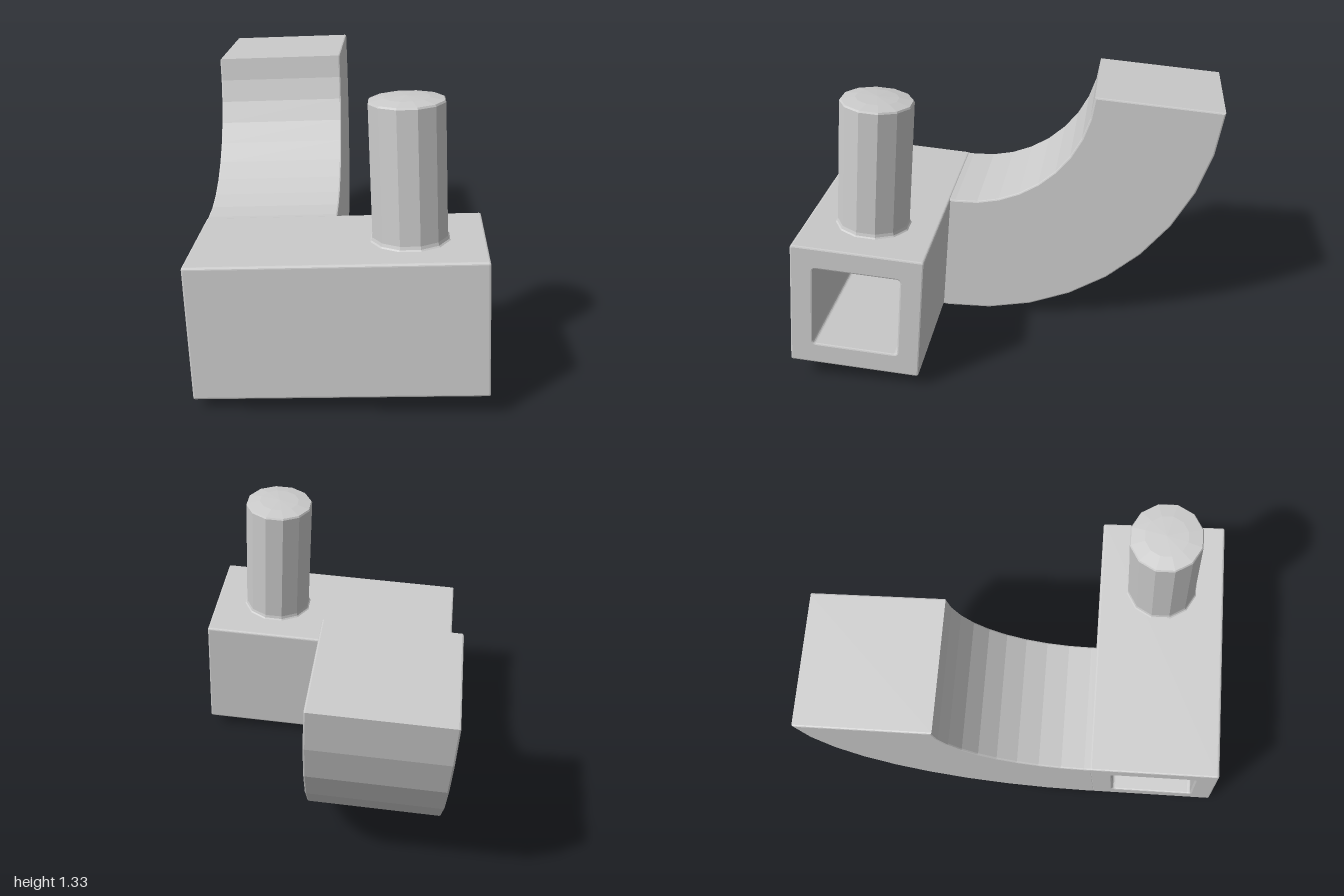
import * as THREE from 'three';

const S = 0.31;       // half side of the square cross-section
const HALF = 0.645;   // half length of the hollow box
const BEVEL = 0.008;

// Extrude a (depth-back, height) outline along x, with slim bevelled ends.
function extrudeAlongX(shape, x0, x1, curveSegments) {
  const geo = new THREE.ExtrudeGeometry(shape, {
    depth: x1 - x0 - 2 * BEVEL, curveSegments,
    bevelEnabled: true, bevelThickness: BEVEL, bevelSize: BEVEL,
    bevelOffset: -BEVEL, bevelSegments: 2,
  });
  geo.translate(0, 0, x0 + BEVEL);
  geo.rotateY(Math.PI / 2);
  return geo;
}

// Square outline with softened corners.
function softSquare(PathType, h, r) {
  const p = new PathType();
  [[1, 1], [-1, 1], [-1, -1], [1, -1]].forEach(([sx, sy], i) => {
    p.absarc(sx * (h - r), sy * (h - r), r, i * Math.PI / 2, (i + 1) * Math.PI / 2, false);
  });
  p.closePath();
  return p;
}

export function createModel() {
  const grey = new THREE.MeshStandardMaterial({ color: 0xcccccc });
  grey.name = 'lightGrey';
  const model = new THREE.Group();
  model.name = 'tiltedFitting';
  const add = (name, geo) => {
    const mesh = new THREE.Mesh(geo, grey);
    mesh.name = name;
    model.add(mesh);
    return mesh;
  };

  // Box with a square tunnel running through it from side to side
  const square = softSquare(THREE.Shape, S, 0.012);
  square.holes.push(softSquare(THREE.Path, 0.203, 0.015));
  add('hollowBox', extrudeAlongX(square, -HALF, HALF, 2));

  // Quarter bend sweeping back and up from one half of the box
  const cu = 0.335, cy = 0.942, rIn = 0.635, rOut = 1.255, steps = 9;
  const pts = [[0.298, cy - rOut + 0.003]];
  for (let i = 0; i <= steps; i++) {
    const a = (i / steps) * Math.PI / 2;
    pts.push([cu + rOut * Math.sin(a), cy - rOut * Math.cos(a)]);
  }
  for (let i = steps; i >= 0; i--) {
    const a = (i / steps) * Math.PI / 2;
    pts.push([cu + rIn * Math.sin(a), cy - rIn * Math.cos(a)]);
  }
  pts.push([0.298, cy - rIn]);
  const bend = new THREE.Shape(pts.map(([u, y]) => new THREE.Vector2(u, y)));
  add('curvedArm', extrudeAlongX(bend, -HALF, -0.025, 1));

  // Upright faceted post with a slightly domed top and a small base fillet
  const profile = [
    [0.185, 0.305], [0.174, 0.316], [0.17, 0.33], [0.17, 0.925],
    [0.165, 0.933], [0.1, 0.944], [0, 0.949],
  ].map(([r, y]) => new THREE.Vector2(r, y));
  let post = new THREE.LatheGeometry(profile, 12, Math.PI / 12).toNonIndexed();
  post.computeVertexNormals();
  add('post', post).position.set(0.315, 0, 0);

  // Whole piece leans slightly back and to one side
  model.rotation.set(THREE.MathUtils.degToRad(-4.5), 0, THREE.MathUtils.degToRad(2.66), 'ZYX');
  model.position.set(0.01, 0.37, 0.666);
  const root = new THREE.Group();
  root.name = 'fitting';
  root.add(model);
  return root;
}
